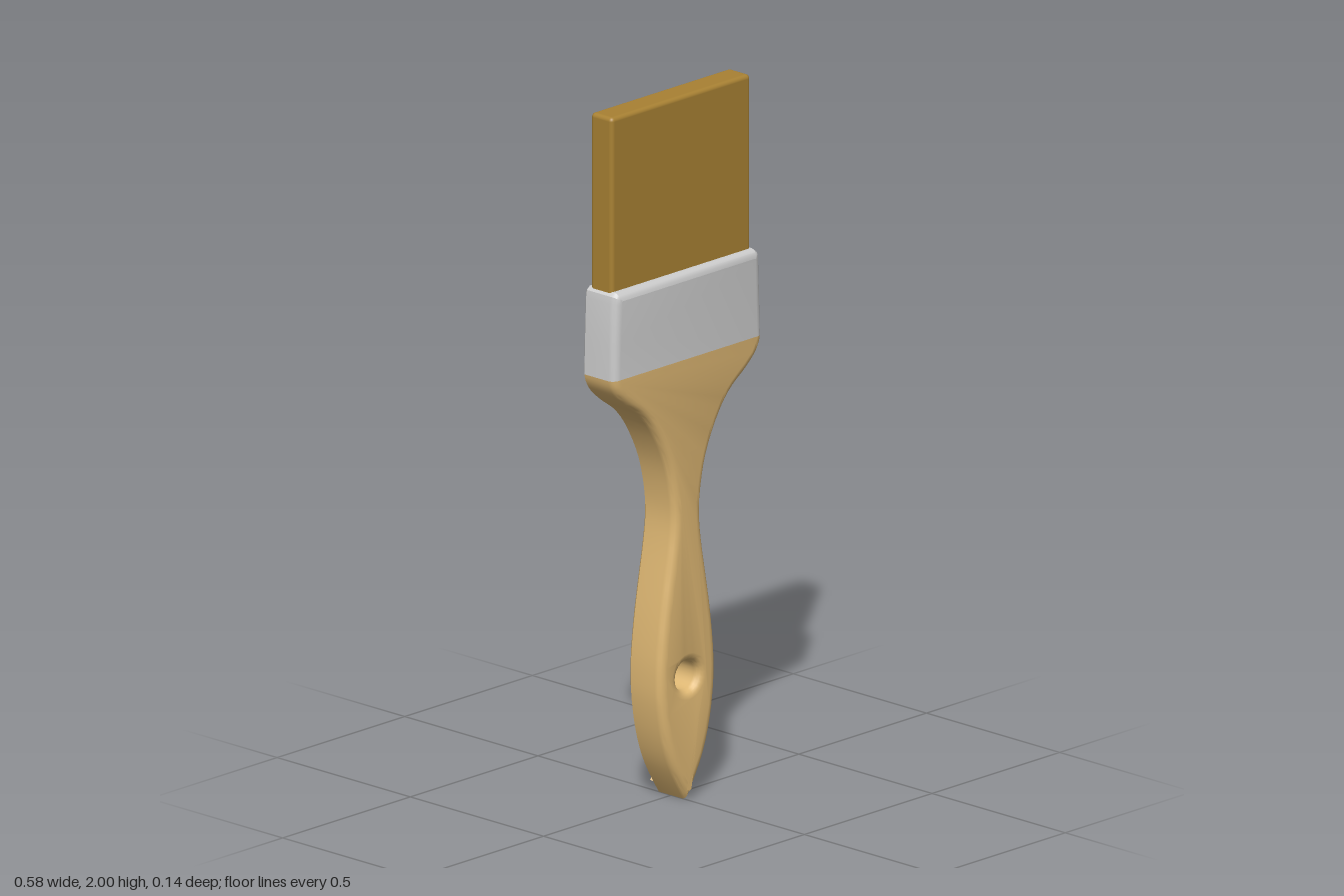
import * as THREE from 'three';
import { toCreasedNormals } from 'three/addons/utils/BufferGeometryUtils.js';
import { RoundedBoxGeometry } from 'three/addons/geometries/RoundedBoxGeometry.js';

const V = (x, y) => new THREE.Vector2(x, y);
const BEVEL = 0.024, BACK = -0.07, FRONT = 0.067;

// Depth profile as [z, inset]: flat chamfer at the back, rounded edge at the front
const layers = [[BACK, BEVEL], [BACK + BEVEL, 0]];
for (let i = 0; i <= 4; i++) {
  const a = (i / 4) * Math.PI / 2;
  layers.push([FRONT - BEVEL + BEVEL * Math.sin(a), BEVEL * (1 - Math.cos(a))]);
}

// Move every point of a closed loop to the left of its direction of travel
function inset(loop, d) {
  const n = loop.length;
  return loop.map((p, i) => {
    const a = p.clone().sub(loop[(i + n - 1) % n]).normalize();
    const b = loop[(i + 1) % n].clone().sub(p).normalize();
    const n1 = V(-a.y, a.x), n2 = V(-b.y, b.x);
    const k = d / Math.max(0.4, 1 + n1.dot(n2));
    return p.clone().addScaledVector(n1.add(n2), k);
  });
}

// Skin from the bevelled wall of some loop points, plus front and back caps
function slab(loop, pick, hole) {
  const pos = [];
  const tri = (...pts) => pts.forEach(([p, z]) => pos.push(p.x, p.y, z));
  const choose = (d) => { const l = inset(loop, d); return pick.map((i) => l[i]); };
  const wall = (ringAt, closed) => {
    for (let k = 0; k + 1 < layers.length; k++) {
      const [z0, d0] = layers[k], [z1, d1] = layers[k + 1];
      const A = ringAt(d0), B = ringAt(d1);
      for (let i = 0; i < A.length - (closed ? 0 : 1); i++) {
        const j = (i + 1) % A.length;
        tri([A[i], z0], [A[j], z0], [B[j], z1]);
        tri([A[i], z0], [B[j], z1], [B[i], z1]);
      }
    }
  };
  wall(choose, false);
  if (hole) wall((d) => inset(hole, d), true);
  const contour = choose(BEVEL), holes = hole ? [inset(hole, BEVEL)] : [];
  const all = contour.concat(...holes);
  for (const [a, b, c] of THREE.ShapeUtils.triangulateShape(contour, holes)) {
    tri([all[a], FRONT], [all[b], FRONT], [all[c], FRONT]);
    tri([all[a], BACK], [all[c], BACK], [all[b], BACK]);
  }
  const g = new THREE.BufferGeometry();
  g.setAttribute('position', new THREE.Float32BufferAttribute(pos, 3));
  return toCreasedNormals(g, 0.5);
}

export function createModel() {
  const group = new THREE.Group();
  const add = (name, geometry, color) => {
    const mesh = new THREE.Mesh(geometry, new THREE.MeshStandardMaterial({ color }));
    mesh.name = name;
    group.add(mesh);
    return mesh;
  };

  // Right half of the outline, from the tip up to the ferrule joint
  const handleSide = new THREE.SplineCurve([
    [0, 0], [0.034, 0.055], [0.067, 0.12], [0.092, 0.2], [0.107, 0.29], [0.11, 0.36],
    [0.107, 0.43], [0.095, 0.53], [0.078, 0.63], [0.062, 0.72], [0.053, 0.8],
    [0.057, 0.87], [0.073, 0.95], [0.1, 1.02], [0.14, 1.09], [0.18, 1.135],
    [0.225, 1.168], [0.265, 1.203], [0.285, 1.233], [0.292, 1.257],
  ].map(([x, y]) => V(x, y))).getPoints(48);
  const ferruleSide = [V(0.289, 1.36), V(0.285, 1.475), V(0.282, 1.495), V(0.27, 1.505)];
  const right = [...handleSide, ...ferruleSide];
  const left = right.slice(1).reverse().map((p) => V(-p.x, p.y));
  const outline = [...right, ...left];

  // Index ranges of the handle (through the tip) and the ferrule (over the top)
  const n = outline.length, cut = handleSide.length - 1;
  const handlePick = [], ferrulePick = [];
  for (let i = -cut; i <= cut; i++) handlePick.push((i + n) % n);
  for (let i = cut; i <= n - cut; i++) ferrulePick.push(i);

  // Hanging hole, running clockwise
  const hole = Array.from({ length: 24 }, (_, i) => {
    const a = -(i / 24) * Math.PI * 2;
    return V(0.042 * Math.cos(a), 0.353 + 0.042 * Math.sin(a));
  });

  add('handle', slab(outline, handlePick, hole), 0xdeb773);
  add('ferrule', slab(outline, ferrulePick), 0xcccccc);

  // Bristle block, sunk into the ferrule
  const bristles = add('bristles', new RoundedBoxGeometry(0.545, 0.56, 0.081, 3, 0.012), 0xa88133);
  bristles.position.set(-0.002, 1.72, 0);

  return group;
}
